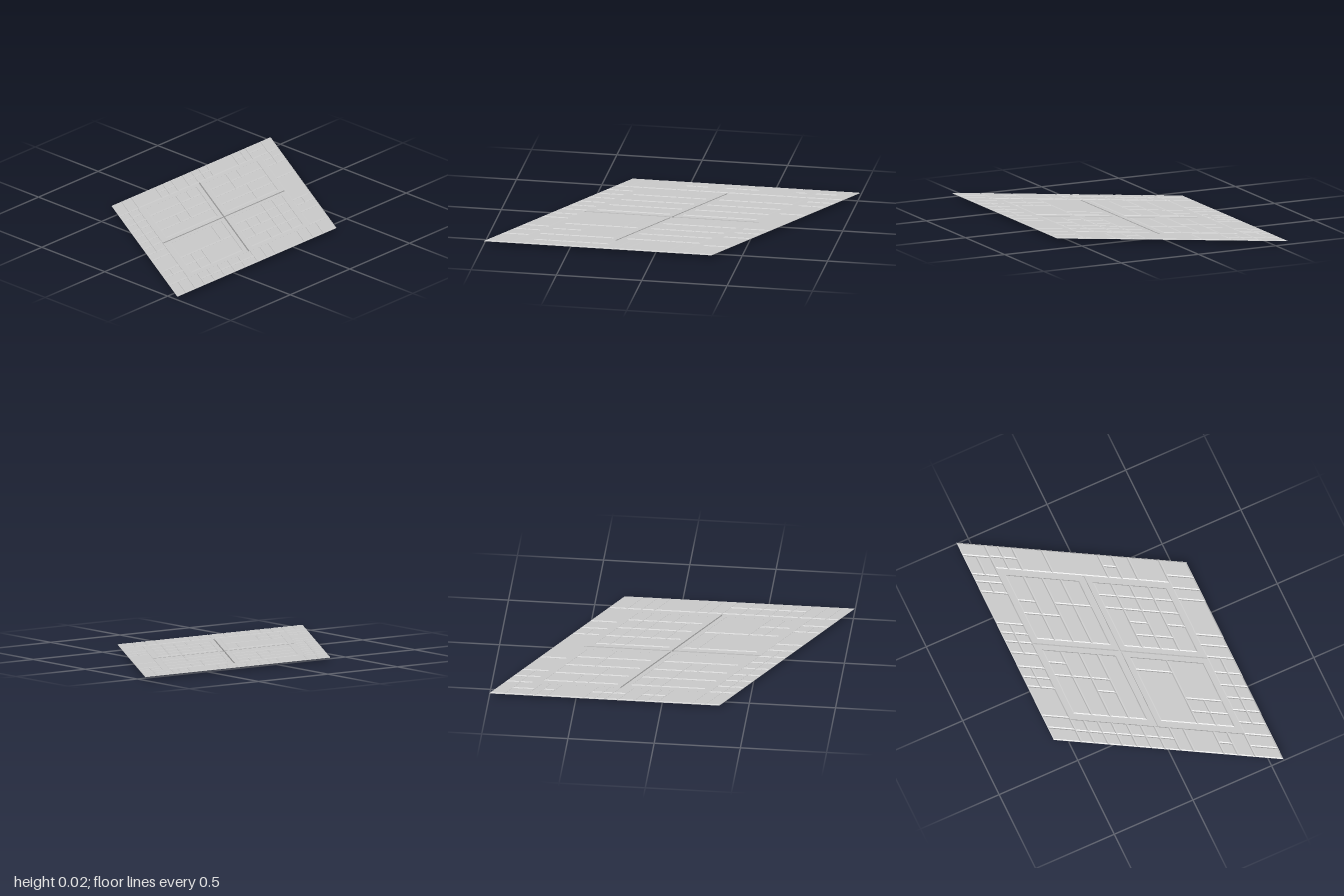
import * as THREE from 'three';
import { mergeGeometries } from 'three/addons/utils/BufferGeometryUtils.js';

const HALF_U = 0.667, HALF_V = 0.577;   // half side along x, half depth along z
const RIM_U = 0.51, RIM_V = 0.437;      // inner edge of the border
const SLOT = 0.007;                     // half width of the cross channel
const BASE = 0.019, DECK = 0.021, TOP = 0.0245;
const SHEAR = new THREE.Matrix4().set(1, 0, -0.577, 0, 0, 1, 0, 0, 0, 0, 1, 0, 0, 0, 0, 1);

// Skewed block; bevel pulls the upper corners inwards
function block(u0, u1, v0, v1, y0, y1, bevel = 0) {
  const w = u1 - u0, d = v1 - v0;
  const g = new THREE.BoxGeometry(w, y1 - y0, d);
  const p = g.attributes.position;
  for (let i = 0; i < p.count; i++) {
    if (p.getY(i) > 0) {
      p.setX(i, p.getX(i) * (1 - 2 * bevel / w));
      p.setZ(i, p.getZ(i) * (1 - 2 * bevel / d));
    }
  }
  g.translate((u0 + u1) / 2, (y0 + y1) / 2, (v0 + v1) / 2);
  g.applyMatrix4(SHEAR);
  const flat = g.toNonIndexed();
  flat.computeVertexNormals();
  return flat;
}
const tile = (u0, u1, v0, v1) => block(u0 + 0.001, u1 - 0.001, v0 + 0.001, v1 - 0.001, DECK, TOP, 0.006);

// Rhombic deck with a cross-shaped slot
function deckGeometry() {
  const s = new THREE.Shape([[-HALF_U, -HALF_V], [HALF_U, -HALF_V], [HALF_U, HALF_V], [-HALF_U, HALF_V]]
    .map(([x, y]) => new THREE.Vector2(x, y)));
  const a = RIM_U, b = RIM_V, t = SLOT;
  s.holes.push(new THREE.Path([[a, -t], [a, t], [t, t], [t, b], [-t, b], [-t, t], [-a, t], [-a, -t],
    [-t, -t], [-t, -b], [t, -b], [t, -t]].map(([x, y]) => new THREE.Vector2(x, y))));
  const g = new THREE.ExtrudeGeometry(s, { depth: DECK - BASE, bevelEnabled: false });
  g.rotateX(-Math.PI / 2).translate(0, BASE, 0).applyMatrix4(SHEAR);
  g.computeVertexNormals();
  return g;
}

// Cross channel below the deck: a floor and side walls
function channelParts() {
  const a = RIM_U, b = RIM_V, t = SLOT, w = 0.002, parts = [];
  parts.push(block(-a, a, -t, t, 0, w));
  for (const s of [-1, 1]) {
    const span = (lo, hi) => (s > 0 ? [lo, hi] : [-hi, -lo]);
    parts.push(block(-t, t, ...span(t, b), 0, w));
    parts.push(block(...span(a - w, a), -t, t, 0, DECK));
    parts.push(block(-t, t, ...span(b - w, b), 0, DECK));
    for (const r of [-1, 1]) {
      const wall = r > 0 ? [t - w, t] : [-t, w - t];
      parts.push(block(...span(t, a), ...wall, 0, DECK));
      parts.push(block(...wall, ...span(t, b), 0, DECK));
    }
  }
  return parts;
}

// Quadrant tiles on a 5 x 4 grid: [row0, row1, column divisions]
const quadrants = {
  backLeftTiles: [-1, -1, [[0, 1, [0, 3, 4, 5]], [1, 2, [0, 3, 5]], [2, 3, [0, 2, 3, 5]], [3, 4, [0, 5]]]],
  backRightTiles: [1, -1, [[0, 1, [0, 2, 3, 5]], [1, 2, [0, 2, 5]], [2, 3, [0, 3, 5]], [3, 4, [0, 3, 5]]]],
  frontLeftTiles: [-1, 1, [[0, 2, [0, 4, 5]], [2, 3, [0, 1, 2]], [3, 4, [0, 1, 2]], [2, 4, [2, 5]]]],
  frontRightTiles: [1, 1, [[0, 1, [0, 3, 4, 5]], [1, 2, [0, 1, 2, 3, 4, 5]], [2, 3, [0, 1, 3, 4, 5]], [3, 4, [0, 2, 3, 4, 5]]]],
};
function quadrantParts([su, sv, rows]) {
  const u = c => (su > 0 ? 0.036 : -0.47) + c * 0.0868;
  const v = r => (sv > 0 ? 0.033 : -0.406) + r * 0.0932;
  return rows.flatMap(([r0, r1, cols]) =>
    cols.slice(1).map((c, i) => tile(u(cols[i]), u(c), v(r0), v(r1))));
}

// Border strips: cut positions along the strip, and which cells are split lengthwise
const borders = {
  backBorder: { side: -1, along: 'u',
    cuts: [-0.667, -0.583, -0.503, -0.305, -0.24, -0.17, -0.075, 0, 0.06, 0.125, 0.337, 0.406, 0.455, 0.583, 0.667],
    split: [3, 4, 6, 7, 8, 10, 12] },
  frontBorder: { side: 1, along: 'u',
    cuts: [-0.667, -0.594, -0.513, -0.433, -0.35, -0.265, -0.18, -0.095, 0.01, 0.09, 0.16, 0.4, 0.476, 0.56, 0.667],
    split: [3, 4, 5, 6, 7] },
  leftBorder: { side: -1, along: 'v',
    cuts: [-0.437, -0.37, -0.3, -0.23, -0.155, -0.085, -0.015, 0.06, 0.13, 0.28, 0.35, 0.437],
    split: [0, 1, 2, 3, 4, 5, 6, 9] },
  rightBorder: { side: 1, along: 'v',
    cuts: [-0.437, -0.37, -0.3, -0.15, 0.13, 0.2, 0.28, 0.437],
    split: [0, 1, 4] },
};
function borderParts({ side, along, cuts, split }) {
  const [inner, outer] = along === 'u' ? [RIM_V, HALF_V] : [RIM_U, HALF_U];
  const mid = (inner + outer) / 2;
  return cuts.slice(1).flatMap((c, i) => {
    const bands = split.includes(i) ? [[inner, mid], [mid, outer]] : [[inner, outer]];
    return bands.map(([lo, hi]) => {
      const across = side > 0 ? [lo, hi] : [-hi, -lo];
      return along === 'u' ? tile(cuts[i], c, ...across) : tile(...across, cuts[i], c);
    });
  });
}

export function createModel() {
  const group = new THREE.Group();
  group.name = 'rhombicPanel';
  const material = new THREE.MeshStandardMaterial({ color: 0xcccccc });
  const add = (name, geometry) => {
    const mesh = new THREE.Mesh(geometry, material);
    mesh.name = name;
    group.add(mesh);
  };
  add('deck', deckGeometry());
  add('crossChannel', mergeGeometries(channelParts()));
  for (const [name, q] of Object.entries(quadrants)) add(name, mergeGeometries(quadrantParts(q)));
  for (const [name, b] of Object.entries(borders)) add(name, mergeGeometries(borderParts(b)));
  return group;
}
